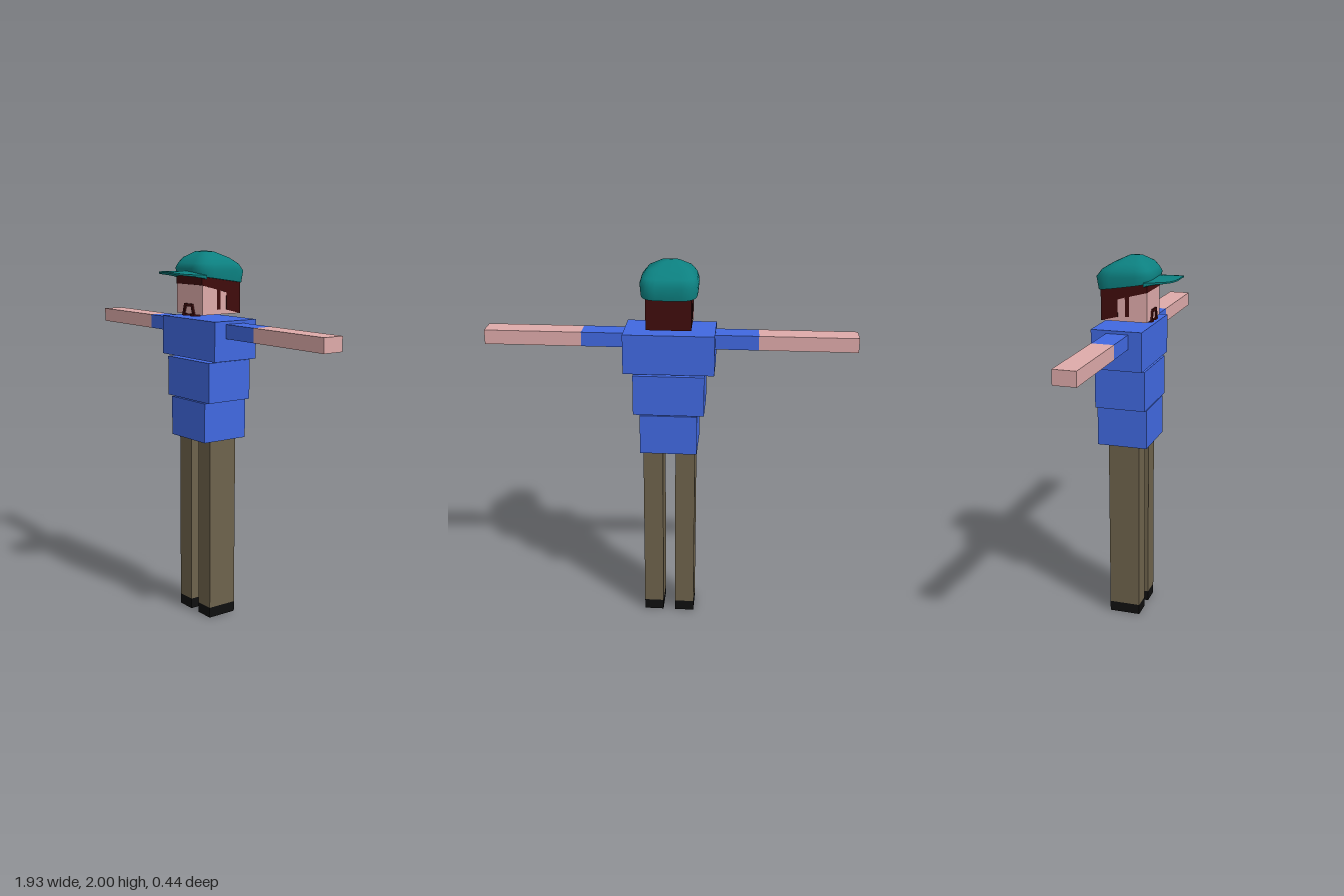
import * as THREE from 'three';

const mat = (color) => new THREE.MeshStandardMaterial({ color, side: THREE.DoubleSide });

export function createModel() {
  const model = new THREE.Group();
  const blue = mat(0x4169e1), skin = mat(0xdfabaa), brown = mat(0x6e634c);
  const black = mat(0x0f0f0f), dark = mat(0x400c0c), teal = mat(0x0c8080);

  const add = (name, geometry, material) => {
    const mesh = new THREE.Mesh(geometry, material);
    mesh.name = name;
    model.add(mesh);
    return mesh;
  };
  // Box given by its limits on each axis
  const block = (name, material, x0, x1, y0, y1, z0, z1) =>
    add(name, new THREE.BoxGeometry(x1 - x0, y1 - y0, z1 - z0)
      .translate((x0 + x1) / 2, (y0 + y1) / 2, (z0 + z1) / 2), material);
  const outline = (points) => new THREE.Shape(points.map(([x, y]) => new THREE.Vector2(x, y)));

  // Torso: three stacked blocks widening upwards
  block('hips', blue, -0.15, 0.15, 1.0, 1.212, -0.197, 0.075);
  block('waist', blue, -0.185, 0.185, 1.217, 1.43, -0.197, 0.075);
  block('chest', blue, -0.235, 0.235, 1.44, 1.648, -0.197, 0.075);

  // Limbs, mirrored
  for (const [side, s] of [['left', 1], ['right', -1]]) {
    const limb = (name, material, a, b, ...rest) =>
      block(side + name, material, Math.min(s * a, s * b), Math.max(s * a, s * b), ...rest);
    limb('Sleeve', blue, 0.225, 0.457, 1.557, 1.632, -0.115, 0.003);
    limb('Forearm', skin, 0.457, 0.963, 1.557, 1.632, -0.115, 0.003);
    limb('Thigh', brown, 0.033, 0.138, 0.52, 1.0, -0.14, 0.03);
    limb('Shin', brown, 0.033, 0.138, 0.057, 0.52, -0.14, 0.03);
    limb('Shoe', black, 0.033, 0.138, 0, 0.057, -0.14, 0.03);
    limb('MoustacheFoot', dark, 0.018, 0.055, 1.662, 1.672, 0.033, 0.065);
  }

  // Head and the hair shell around it, cut from a side profile (z, y)
  block('head', skin, -0.114, 0.114, 1.672, 1.875, -0.18, 0.065);
  const hair = outline([[0.067, 1.88], [0.067, 1.827], [-0.03, 1.802], [-0.03, 1.697], [-0.053, 1.697],
    [-0.053, 1.797], [-0.092, 1.785], [-0.092, 1.695], [-0.183, 1.672], [-0.183, 1.88]]);
  add('hair', new THREE.ExtrudeGeometry(hair, { depth: 0.232, bevelEnabled: false })
    .translate(0, 0, -0.116).rotateY(-Math.PI / 2), dark);

  // Moustache: flared arch on the face
  const half = [[0.035, 1.727], [0.055, 1.662], [0.018, 1.662], [0.02, 1.675], [0.036, 1.675], [0.024, 1.712]];
  const mirrored = half.map(([x, y]) => [-x, y]).reverse();
  add('moustache', new THREE.ExtrudeGeometry(outline([...half, ...mirrored]), { depth: 0.014, bevelEnabled: false })
    .translate(0, 0, 0.06), dark);

  // Cap crown: rounded-rectangle rings [half width, front z, back z, front y, back y]
  const rings = [
    [0, -0.06, -0.06, 1.852, 1.852],
    [0.146, 0.085, -0.208, 1.874, 1.83],
    [0.146, 0.085, -0.208, 1.874, 1.83],
    [0.151, 0.096, -0.219, 1.91, 1.895],
    [0.141, 0.08, -0.19, 1.937, 1.932],
    [0.115, 0.055, -0.135, 1.965, 1.965],
    [0.05, 0.005, -0.07, 1.995, 1.995],
    [0, -0.03, -0.03, 2.0, 2.0],
  ];
  const N = 32, pos = [], index = [];
  const round = (v) => Math.sign(v) * Math.abs(v) ** 0.5;
  rings.forEach(([w, zf, zb, yf, yb], r) => {
    for (let i = 0; i < N; i++) {
      const a = (i / N) * Math.PI * 2;
      const cx = round(Math.sin(a)), cz = round(Math.cos(a));
      const t = (cz + 1) / 2;
      pos.push(cx * w * (1 - 0.1 * t ** 3), yb + (yf - yb) * t, zb + (zf - zb) * t);
      const j = (i + 1) % N, a0 = r * N + i, b0 = r * N + j;
      if (r < rings.length - 1 && r !== 1) index.push(a0, b0, b0 + N, a0, b0 + N, a0 + N);
    }
  });
  const crown = new THREE.BufferGeometry();
  crown.setAttribute('position', new THREE.Float32BufferAttribute(pos, 3));
  crown.setIndex(index);
  crown.computeVertexNormals();
  add('capCrown', crown, teal);

  // Cap brim: thin slab bent to a rounded, drooping peak
  const brim = new THREE.BoxGeometry(2, 2, 1, 20, 1, 6);
  const p = brim.attributes.position;
  for (let i = 0; i < p.count; i++) {
    const u = p.getX(i), side = p.getY(i), v = p.getZ(i) + 0.5;
    const tip = 0.08 + 0.137 * Math.max(0, 1 - u ** 4) ** 0.6;
    p.setXYZ(i, 0.135 * u * (1 - 0.08 * v),
      1.885 + 0.01 * v - 0.018 * u * u + side * (0.011 - 0.007 * v),
      0.05 + (tip - 0.05) * v);
  }
  brim.computeVertexNormals();
  add('capBrim', brim, teal);

  return model;
}
